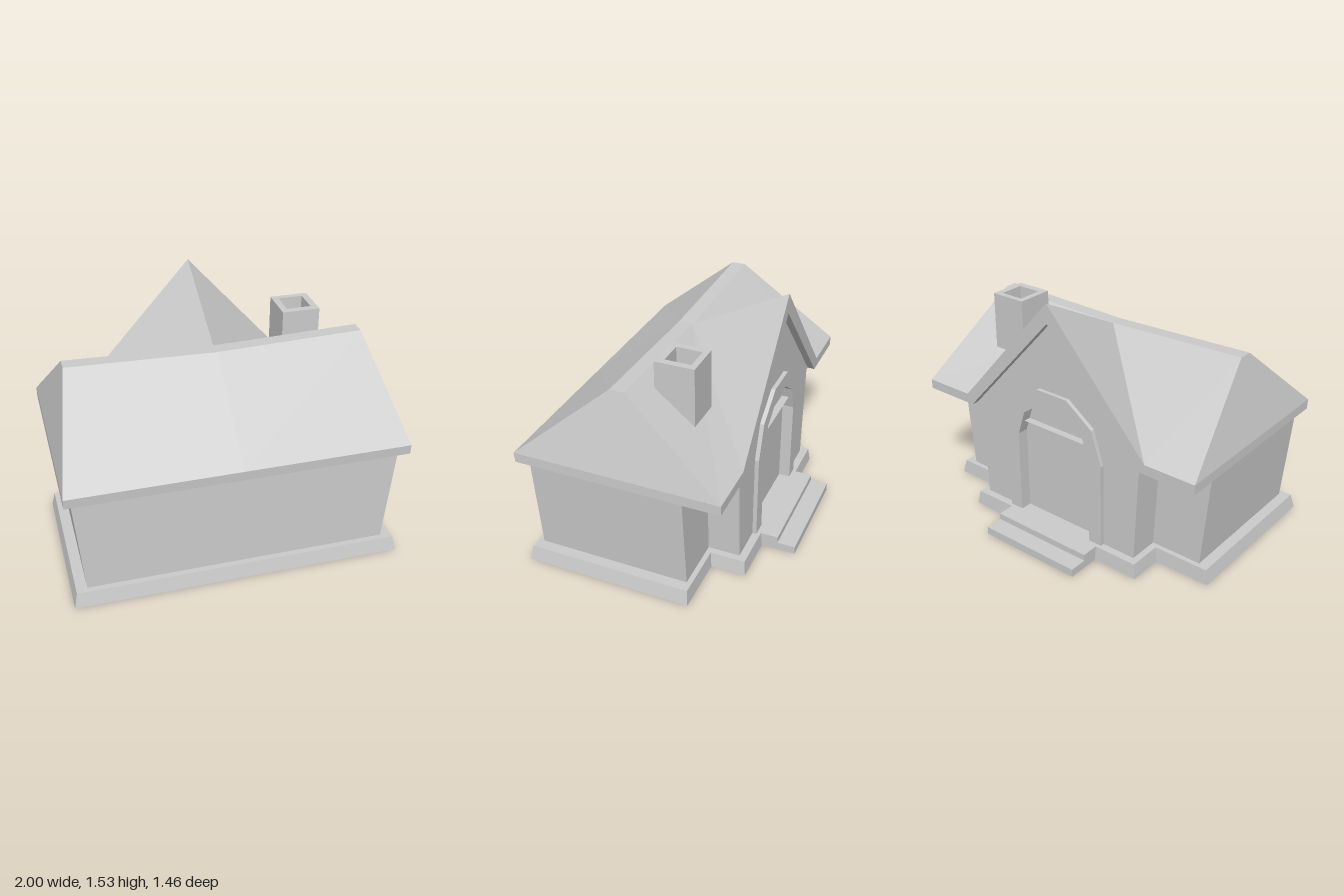
import * as THREE from 'three';

const mat = new THREE.MeshStandardMaterial({ color: 0xcccccc, flatShading: true, side: THREE.DoubleSide });

function add(parent, name, geometry) {
  const mesh = new THREE.Mesh(geometry, mat);
  mesh.name = name;
  parent.add(mesh);
  return mesh;
}

// flat polygons, corners counter-clockwise from outside
function polygons(faces) {
  const pos = [];
  for (const f of faces)
    for (let i = 1; i < f.length - 1; i++) pos.push(...f[0], ...f[i], ...f[i + 1]);
  const g = new THREE.BufferGeometry();
  g.setAttribute('position', new THREE.Float32BufferAttribute(pos, 3));
  g.computeVertexNormals();
  return g;
}

// adds the copy of each face on the other side of x = 0
const mirrored = (faces) =>
  faces.concat(faces.map((f) => f.map(([x, y, z]) => [-x, y, z]).reverse()));

// T-shaped ground plan: main block plus entrance bay at the rear
const plan = (y, xm, zf, zb, xp, zp) => [
  [-xm, y, zf], [xm, y, zf], [xm, y, zb], [xp, y, zb],
  [xp, y, zp], [-xp, y, zp], [-xp, y, zb], [-xm, y, zb],
];

// skin between stacked plans, optionally leaving one side open
function skin(loops, open = -1) {
  const faces = [];
  for (let k = 0; k < loops.length - 1; k++) {
    const a = loops[k], b = loops[k + 1];
    for (let i = 0; i < a.length; i++) {
      const j = (i + 1) % a.length;
      if (i !== open) faces.push([a[i], a[j], b[j], b[i]]);
    }
  }
  return polygons(faces);
}

// doorway outline from the right foot, over the arch, to the left foot
function arch(r, springY = 0.63, floorY = 0.09, n = 5) {
  const pts = [[r, floorY]];
  for (let i = 0; i <= n; i++) {
    const a = (Math.PI * i) / n;
    pts.push([r * Math.cos(a), springY + r * Math.sin(a)]);
  }
  pts.push([-r, floorY]);
  return pts;
}

const shape = (pts) => new THREE.Shape(pts.map(([x, y]) => new THREE.Vector2(x, y)));

function box(parent, name, w, y0, y1, z0, z1) {
  const m = add(parent, name, new THREE.BoxGeometry(w, y1 - y0, z1 - z0));
  m.position.set(0, (y0 + y1) / 2, (z0 + z1) / 2);
}

export function createModel() {
  const house = new THREE.Group();
  house.name = 'house';

  // plinth with ledge, and the flaring walls
  const wallFoot = plan(0.09, 0.905, 0.66, -0.27, 0.58, -0.465);
  const wallTop = plan(0.715, 0.96, 0.66, -0.27, 0.61, -0.465);
  add(house, 'plinth', skin([
    plan(0, 0.99, 0.715, -0.31, 0.635, -0.522),
    plan(0.09, 0.97, 0.695, -0.3, 0.62, -0.512),
    wallFoot,
  ]));
  add(house, 'walls', skin([wallFoot, wallTop], 4));

  // entrance wall rising into the gable, cut by the doorway
  const entrance = shape([
    [0.58, 0.09], [0.61, 0.715], [0.637, 0.715], [0, 1.415],
    [-0.637, 0.715], [-0.61, 0.715], [-0.58, 0.09],
    ...arch(0.27).reverse(),
  ]);
  add(house, 'entranceWall', new THREE.ShapeGeometry(entrance)).position.z = -0.465;

  // door surround and door
  const surround = shape([...arch(0.36), ...arch(0.27).reverse()]);
  add(house, 'doorSurround',
    new THREE.ExtrudeGeometry(surround, { depth: 0.07, bevelEnabled: false })).position.z = -0.49;
  add(house, 'door', new THREE.ShapeGeometry(shape(arch(0.275)))).position.z = -0.42;

  // steps
  box(house, 'upperStep', 0.68, 0, 0.09, -0.62, -0.42);
  box(house, 'lowerStep', 0.68, 0, 0.05, -0.73, -0.62);

  // main roof with sagging flat ridge, cut along the valleys
  const ridgeF = [0.885, 1.255, 0.165], ridgeB = [0.885, 1.255, 0.08];
  const midF = [0, 1.23, 0.165], midB = [0, 1.23, 0.078];
  const eaveF = [1, 0.775, 0.73], eaveB = [1, 0.775, -0.51];
  const lowF = [1, 0.715, 0.725], lowB = [1, 0.715, -0.51];
  const valley = [0.675, 0.775, -0.51], valleyLow = [0.637, 0.715, -0.51];
  add(house, 'mainRoof', polygons(mirrored([
    [[0, 0.775, 0.73], eaveF, ridgeF, midF],
    [[0, 0.715, 0.725], lowF, eaveF, [0, 0.775, 0.73]],
    [midF, ridgeF, ridgeB, midB],
    [eaveF, eaveB, ridgeB, ridgeF],
    [lowF, lowB, eaveB, eaveF],
    [eaveB, valley, midB, ridgeB],
    [lowB, valleyLow, valley, eaveB],
  ])));

  // gable roof: slopes, verge boards and their undersides
  const apex = [0, 1.535, -0.51], apexLow = [0, 1.415, -0.51];
  add(house, 'gableRoof', polygons(mirrored([
    [valley, apex, midB],
    [valley, valleyLow, apexLow, apex],
    [valleyLow, [0.637, 0.715, -0.465], [0, 1.415, -0.465], apexLow],
  ])));

  // flat soffit, notched in front of the entrance wall
  const soffit = shape([
    [-1, 0.725], [-1, -0.51], [-0.637, -0.51], [-0.637, -0.465],
    [0.637, -0.465], [0.637, -0.51], [1, -0.51], [1, 0.725],
  ]);
  add(house, 'soffit', new THREE.ShapeGeometry(soffit).rotateX(Math.PI / 2)).position.y = 0.715;

  // hollow chimney
  const rect = (x0, x1, z0, z1) => [[x0, z0], [x1, z0], [x1, z1], [x0, z1]];
  const stack = shape(rect(0.45, 0.68, -0.23, 0.005));
  stack.holes.push(shape(rect(0.49, 0.64, -0.195, -0.04)));
  const chimney = new THREE.ExtrudeGeometry(stack, { depth: 0.4, bevelEnabled: false });
  add(house, 'chimney', chimney.rotateX(Math.PI / 2)).position.y = 1.35;
  const flue = add(house, 'flueBottom', new THREE.BoxGeometry(0.15, 0.02, 0.155));
  flue.position.set(0.565, 1.22, -0.1175);

  return house;
}
